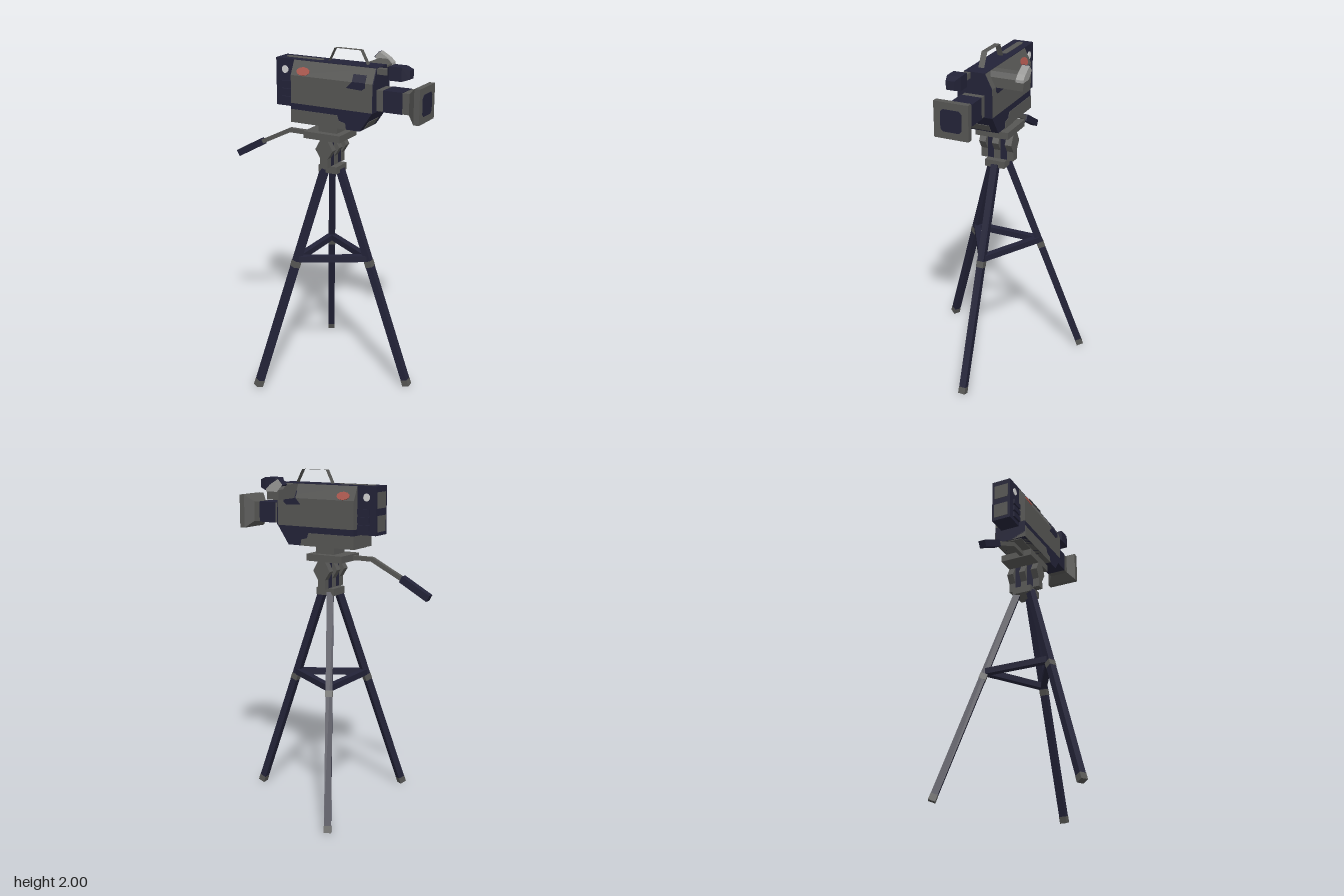
import * as THREE from 'three';

const material = (name, color) => {
  const m = new THREE.MeshStandardMaterial({ color });
  m.name = name;
  return m;
};

export function createModel() {
  const model = new THREE.Group();
  const navy = material('navy plastic', 0x232338);
  const grey = material('grey plastic', 0x565654);
  const light = material('light grey', 0x9a9a98);
  const white = material('white', 0xd2d2d2);
  const red = material('red', 0xa8544a);
  const ribbonGrey = material('grey strap', 0x565654);
  ribbonGrey.side = THREE.DoubleSide;

  const add = (name, geo, mat, x = 0, y = 0, z = 0) => {
    const mesh = new THREE.Mesh(geo, mat);
    mesh.name = name;
    mesh.position.set(x, y, z);
    model.add(mesh);
    return mesh;
  };
  // box given by its limits on each axis
  const box = (name, mat, x0, x1, y0, y1, z0, z1) =>
    add(name, new THREE.BoxGeometry(x1 - x0, y1 - y0, z1 - z0), mat,
      (x0 + x1) / 2, (y0 + y1) / 2, (z0 + z1) / 2);
  // profile in x and y, pushed along z
  const prism = (pts, depth) => new THREE.ExtrudeGeometry(
    new THREE.Shape(pts.map(p => new THREE.Vector2(...p))), { depth, bevelEnabled: false });
  // square bar between two points
  const bar = (name, mat, a, b, size) => {
    const p = new THREE.Vector3(...a), q = new THREE.Vector3(...b);
    const mesh = add(name, new THREE.BoxGeometry(size, size, p.distanceTo(q)), mat);
    mesh.position.copy(p).add(q).multiplyScalar(0.5);
    mesh.lookAt(q);
    return mesh;
  };
  // square frustum along x, from half-width r0 at the back to r1 at the front
  const frustum = (name, mat, x0, x1, r0, r1, y, z) => {
    let g = new THREE.CylinderGeometry(r1 * Math.SQRT2, r0 * Math.SQRT2, x1 - x0, 4);
    g.rotateY(Math.PI / 4).rotateZ(-Math.PI / 2);
    g = g.toNonIndexed();
    g.computeVertexNormals();
    return add(name, g, mat, (x0 + x1) / 2, y, z);
  };

  // camera body: chamfered upper case
  const upper = prism([[-0.1, 1.68], [0.1, 1.68], [0.1, 1.84], [0.06, 1.92], [-0.06, 1.92], [-0.1, 1.84]], 0.515);
  upper.rotateY(Math.PI / 2);
  add('upperBody', upper, grey, -0.19);
  const front = prism([[-0.1, 1.68], [0.1, 1.68], [0.1, 1.84], [0.06, 1.92], [-0.06, 1.92], [-0.1, 1.84]], 0.006);
  front.rotateY(Math.PI / 2);
  add('frontPanel', front, navy, 0.324);
  box('topPanel', navy, -0.19, 0.33, 1.916, 1.923, -0.06, 0.06);
  // lower case with sloping nose
  add('lowerBody', prism([[-0.19, 1.57], [0.25, 1.57], [0.325, 1.68], [-0.19, 1.68]], 0.2), navy, 0, 0, -0.1);
  const lowerPanel = prism([[-0.19, 1.57], [0.165, 1.57], [0.16, 1.605], [0.12, 1.615], [0.11, 1.645], [-0.19, 1.645]], 0.206);
  add('lowerSidePanels', lowerPanel, grey, 0, 0, -0.103);
  box('undersidePanel', grey, -0.18, 0.15, 1.566, 1.572, -0.07, 0.07);
  const nose = add('nosePanel', new THREE.BoxGeometry(0.006, 0.05, 0.12), grey, 0.27, 1.6, 0);
  nose.rotation.z = -Math.atan2(0.075, 0.11);

  // rear block and its panels
  box('rearBlock', navy, -0.31, -0.19, 1.65, 1.923, -0.06, 0.06);
  box('upperRearPanel', grey, -0.313, -0.308, 1.8, 1.89, -0.045, 0.045);
  box('lowerRearPanel', grey, -0.313, -0.308, 1.67, 1.76, -0.045, 0.045);

  // details on both sides
  for (const s of [1, -1]) {
    const disc = (name, mat, w, h, x, y, z) => {
      const g = new THREE.CylinderGeometry(0.5, 0.5, 0.008, 10);
      g.rotateX(Math.PI / 2).scale(w, h, 1);
      return add(name, g, mat, x, y, z);
    };
    disc('sideButton', white, 0.042, 0.045, -0.25, 1.86, s * 0.061);
    disc('redBadge', red, 0.085, 0.05, -0.115, 1.864, s * 0.0885).rotation.x = -0.4636 * s;
    for (const y of [1.78, 1.735, 1.69])
      box('sideKey', navy, -0.27, -0.195, y - 0.016, y + 0.016, s * 0.066 - 0.006, s * 0.066 + 0.006);
    // dark grip patch that wraps over the chamfer
    add('gripPatch', prism([[0.165, 1.805], [0.26, 1.8], [0.28, 1.815], [0.28, 1.842], [0.2, 1.842]], 0.005),
      navy, 0, 0, s * 0.1005 - 0.0025);
    const patch = add('upperGripPatch', new THREE.BoxGeometry(0.08, 0.046, 0.005), navy, 0.24, 1.86, s * 0.09);
    patch.rotation.x = -0.4636 * s;
  }

  // top plate with rounded ends
  const slot = new THREE.Shape();
  slot.absarc(-0.05, 0, 0.018, -Math.PI / 2, Math.PI / 2);
  slot.absarc(-0.255, 0, 0.018, Math.PI / 2, Math.PI * 1.5);
  const slotGeo = new THREE.ExtrudeGeometry(slot, { depth: 0.004, bevelEnabled: false, curveSegments: 4 });
  add('topInlay', slotGeo.rotateX(-Math.PI / 2), grey, 0, 1.922, 0);

  // thin carrying strap bent over the top
  const strap = [[0.005, 1.92], [0.045, 2.0], [0.207, 2.0], [0.25, 1.92]];
  for (let i = 0; i < 3; i++) {
    const [ax, ay] = strap[i], [bx, by] = strap[i + 1];
    const g = new THREE.PlaneGeometry(Math.hypot(bx - ax, by - ay), 0.034).rotateX(-Math.PI / 2);
    add('carryStrap', g, ribbonGrey, (ax + bx) / 2, (ay + by) / 2, 0).rotation.z = Math.atan2(by - ay, bx - ax);
  }

  // lens and square hood
  const ly = 1.745;
  for (const [name, mat, x0, x1, r] of [
    ['lensMount', grey, 0.32, 0.37, 0.058], ['lensBarrel', navy, 0.37, 0.485, 0.06],
    ['lensRing', grey, 0.485, 0.53, 0.058], ['hoodRim', grey, 0.57, 0.603, 0.098]])
    box(name, mat, x0, x1, ly - r, ly + r, -r, r);
  frustum('hoodFlare', grey, 0.525, 0.57, 0.058, 0.098, ly, 0);
  const c = 0.045, e = 0.06;
  const glass = prism([[-c, -e], [c, -e], [e, -c], [e, c], [c, e], [-c, e], [-e, c], [-e, -c]], 0.005);
  add('lensGlass', glass.rotateY(Math.PI / 2), navy, 0.6, ly, 0);

  // microphone
  box('microphoneRod', grey, 0.3, 0.41, 1.888, 1.92, 0.022, 0.058);
  box('microphone', navy, 0.41, 0.485, 1.867, 1.943, 0.002, 0.078);
  frustum('microphoneTip', navy, 0.485, 0.527, 0.038, 0.024, 1.905, 0.04);
  frustum('microphoneBack', navy, 0.4, 0.41, 0.032, 0.038, 1.905, 0.04);

  // viewfinder arm and tilted eyepiece
  const arm = prism([[0.205, 1.84], [0.285, 1.84], [0.285, 1.895], [0.26, 1.92], [0.205, 1.92]], 0.2);
  add('viewfinderArm', arm, grey, 0, 0, -0.258);
  const eye = prism([[0.178, 1.925], [0.215, 1.885], [0.289, 1.885], [0.288, 1.9], [0.262, 1.924], [0.207, 1.956]], 0.044);
  add('eyepiece', eye, light, 0, 0, -0.26);
  const cup = prism([[0.174, 1.925], [0.182, 1.917], [0.211, 1.951], [0.203, 1.957]], 0.042);
  add('eyecup', cup, navy, 0, 0, -0.259);

  // tripod head
  const cx = 0.024;
  box('mountBlock', grey, -0.035, 0.085, 1.52, 1.575, -0.06, 0.06);
  box('mountPlate', grey, -0.11, 0.125, 1.485, 1.525, -0.1, 0.1);
  const hex = [[0, 1.325], [0.048, 1.325], [0.048, 1.38], [0.08, 1.43], [0.048, 1.487], [0, 1.487], [-0.032, 1.43], [0, 1.38]];
  for (const z of [-0.1, -0.02, 0.06])
    add('headHinge', prism(hex, 0.04), grey, 0, 0, z);
  box('headCore', navy, 0.002, 0.046, 1.325, 1.487, -0.065, 0.065);
  box('headBase', grey, -0.035, 0.085, 1.285, 1.327, -0.06, 0.06);

  // pan handle
  bar('panRod', grey, [-0.1, 1.503, 0.04], [-0.235, 1.503, 0.04], 0.025);
  bar('panRod', grey, [-0.228, 1.505, 0.04], [-0.43, 1.405, 0.04], 0.025);
  bar('panGrip', navy, [-0.425, 1.408, 0.04], [-0.597, 1.313, 0.04], 0.04);

  // three legs with joints, feet and braces
  const legPoint = (angle, y) => {
    const r = 0.055 + 0.461 * (1.29 - y) / 1.28;
    return [cx + r * Math.cos(angle), y, r * Math.sin(angle)];
  };
  for (let i = 0; i < 3; i++) {
    const a = i * Math.PI * 2 / 3, b = a + Math.PI * 2 / 3;
    bar('leg', navy, legPoint(a, 1.3), legPoint(a, 0.04), 0.04);
    bar('legJoint', grey, legPoint(a, 0.765), legPoint(a, 0.73), 0.043);
    bar('foot', grey, legPoint(a, 0.045), legPoint(a, 0.008), 0.042);
    bar('brace', navy, legPoint(a, 0.78), legPoint(b, 0.78), 0.036);
  }
  return model;
}
